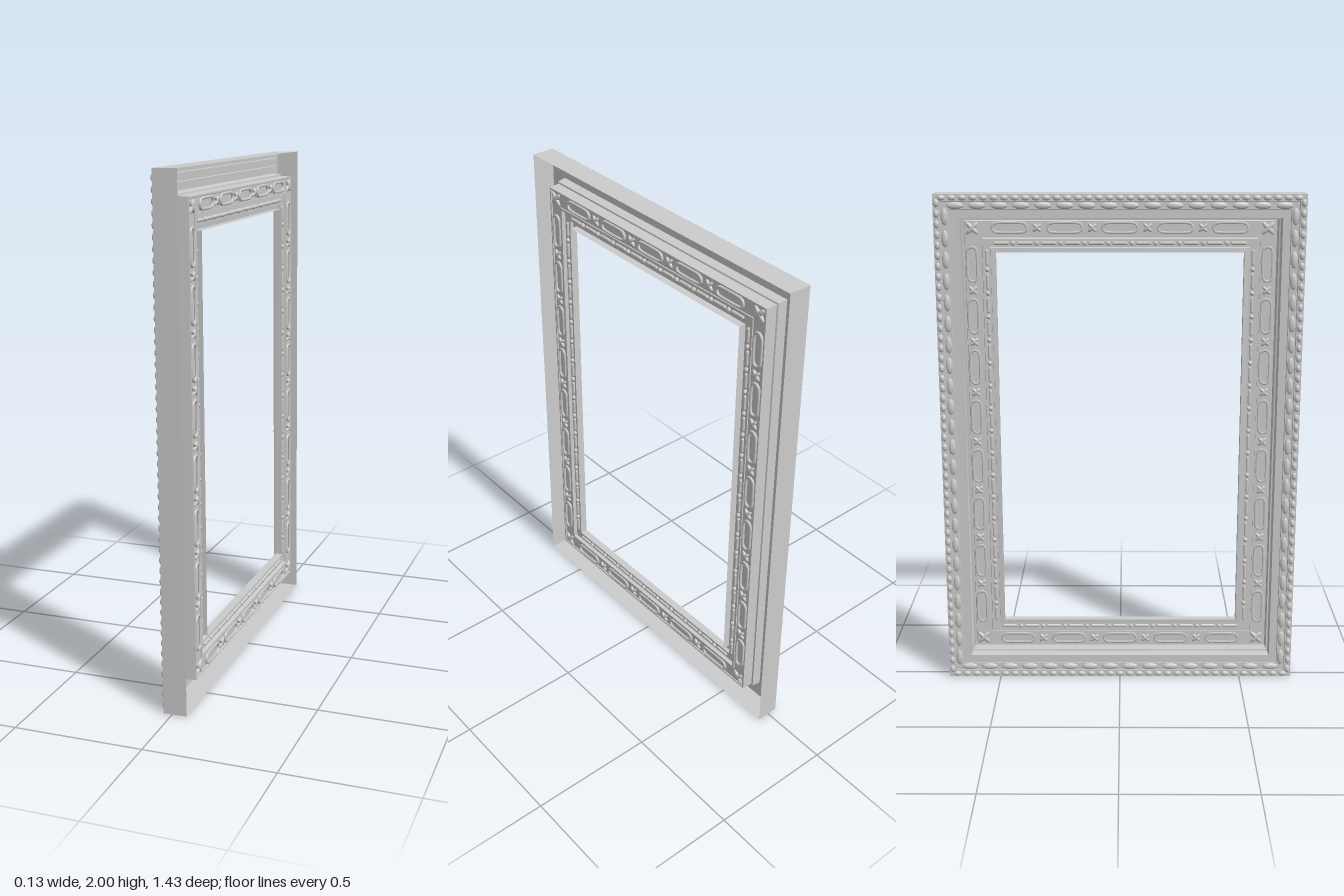
import * as THREE from 'three';
import { mergeGeometries, toCreasedNormals } from 'three/addons/utils/BufferGeometryUtils.js';

const HH = 1, HW = 0.715; // half height (y) and half width (z)
const material = new THREE.MeshStandardMaterial({ color: 0xcccccc, side: THREE.DoubleSide });

// Sweeps a profile of [inset from outer edge, x] points round the mitred rectangle
function mitredSweep(profile) {
  const corners = [[1, 1], [1, -1], [-1, -1], [-1, 1]];
  const point = ([r, x], c) => {
    const [sy, sz] = corners[c % 4];
    return [x, sy * (HH - r), sz * (HW - r)];
  };
  const pos = [];
  for (let i = 0; i < profile.length - 1; i++) {
    for (let c = 0; c < 4; c++) {
      const a = point(profile[i], c), b = point(profile[i], c + 1);
      const d = point(profile[i + 1], c), e = point(profile[i + 1], c + 1);
      pos.push(...a, ...b, ...e, ...a, ...e, ...d);
    }
  }
  const g = new THREE.BufferGeometry();
  g.setAttribute('position', new THREE.Float32BufferAttribute(pos, 3));
  return toCreasedNormals(g, 0.5);
}

// Copies a geometry (long axis y) evenly along all four rails at one inset;
// between = true places the copies in the gaps of the same row
function alongRails(geometry, inset, x, pitch, endGap, between = false) {
  const copies = [];
  for (const upright of [true, false]) {
    const half = (upright ? HH : HW) - inset;
    const other = (upright ? HW : HH) - inset;
    const length = 2 * (half - endGap);
    const n = Math.round(length / pitch);
    for (const s of [-1, 1]) {
      for (let i = between ? 1 : 0.5; i < n; i++) {
        const t = -length / 2 + i * length / n;
        const g = geometry.clone();
        if (!upright) g.rotateX(Math.PI / 2);
        g.translate(x, upright ? t : s * other, upright ? s * other : t);
        copies.push(g);
      }
    }
  }
  return mergeGeometries(copies);
}

// Oval link outline in the y-z plane
function ovalLink(halfLength, halfWidth, tube) {
  const pts = [];
  for (let i = 0; i < 16; i++) {
    const a = (i + 0.5) / 16 * Math.PI * 2;
    const straight = Math.sign(Math.sin(a)) * (halfLength - halfWidth);
    pts.push(new THREE.Vector3(0, Math.sin(a) * halfWidth + straight, Math.cos(a) * halfWidth));
  }
  return new THREE.TubeGeometry(new THREE.CatmullRomCurve3(pts, true), 32, tube, 6, true);
}

// Two crossed leaves in the y-z plane
function leafCross(length, width) {
  return mergeGeometries([-1, 1].map((s) =>
    new THREE.SphereGeometry(1, 10, 6).scale(0.009, length, width).rotateX(s * Math.PI / 4)));
}

// Half-round boss bulging towards -x
function halfBoss(depth, halfLength, halfWidth) {
  return new THREE.SphereGeometry(1, 10, 4, 0, Math.PI * 2, 0, Math.PI / 2)
    .rotateZ(Math.PI / 2).scale(depth, halfLength, halfWidth);
}

export function createModel() {
  const frame = new THREE.Group();
  frame.name = 'frame';
  const add = (name, geometry) => {
    const mesh = new THREE.Mesh(geometry, material);
    mesh.name = name;
    frame.add(mesh);
  };

  // Thin moulded shell, open on +x: wall, flat rim, steep step, ornament bed, sight edge
  add('mouldedShell', mitredSweep([
    [0, 0.046], [0, -0.046], [0.026, -0.046], [0.028, -0.041],
    [0.058, -0.041], [0.06, -0.036], [0.09, -0.036], [0.094, 0.0], [0.1, 0.002],
    [0.102, 0.047], [0.108, 0.047], [0.11, 0.042], [0.165, 0.042],
    [0.165, 0.047], [0.175, 0.047], [0.178, 0.032], [0.21, 0.032],
    [0.212, 0.018], [0.23, 0.016], [0.23, 0.046],
  ]));

  // Fine row of beads on the rim edge and larger rosettes inside it
  add('rimBeads', alongRails(halfBoss(0.009, 0.016, 0.011), 0.013, -0.046, 0.04, 0));
  add('rimRosettes', alongRails(halfBoss(0.009, 0.034, 0.014), 0.043, -0.041, 0.085, 0));

  // Chain of oval links with leaf crosses between them
  add('ovalLinks', alongRails(ovalLink(0.068, 0.018, 0.006), 0.136, 0.045, 0.2, 0.04));
  add('linkLeaves', alongRails(leafCross(0.024, 0.008), 0.136, 0.044, 0.2, 0.04, true));

  // Leaf cross at each mitred corner
  const leaves = [];
  for (const sy of [-1, 1]) for (const sz of [-1, 1]) {
    leaves.push(leafCross(0.035, 0.011).translate(0.044, sy * (HH - 0.138), sz * (HW - 0.138)));
  }
  add('cornerLeaves', mergeGeometries(leaves));

  // Bead-and-reel strip beside the opening
  const reel = new THREE.CapsuleGeometry(0.007, 0.05, 3, 8);
  add('innerReels', alongRails(reel, 0.195, 0.034, 0.095, 0.01));
  const pearl = new THREE.SphereGeometry(0.01, 8, 6);
  add('innerPearls', alongRails(pearl, 0.195, 0.034, 0.095, 0.01, true));

  // The frame leans very slightly
  frame.position.y = HH;
  frame.rotation.set(0, 0.005, 0.0085);
  const model = new THREE.Group();
  model.name = 'pictureFrame';
  model.add(frame);
  return model;
}
